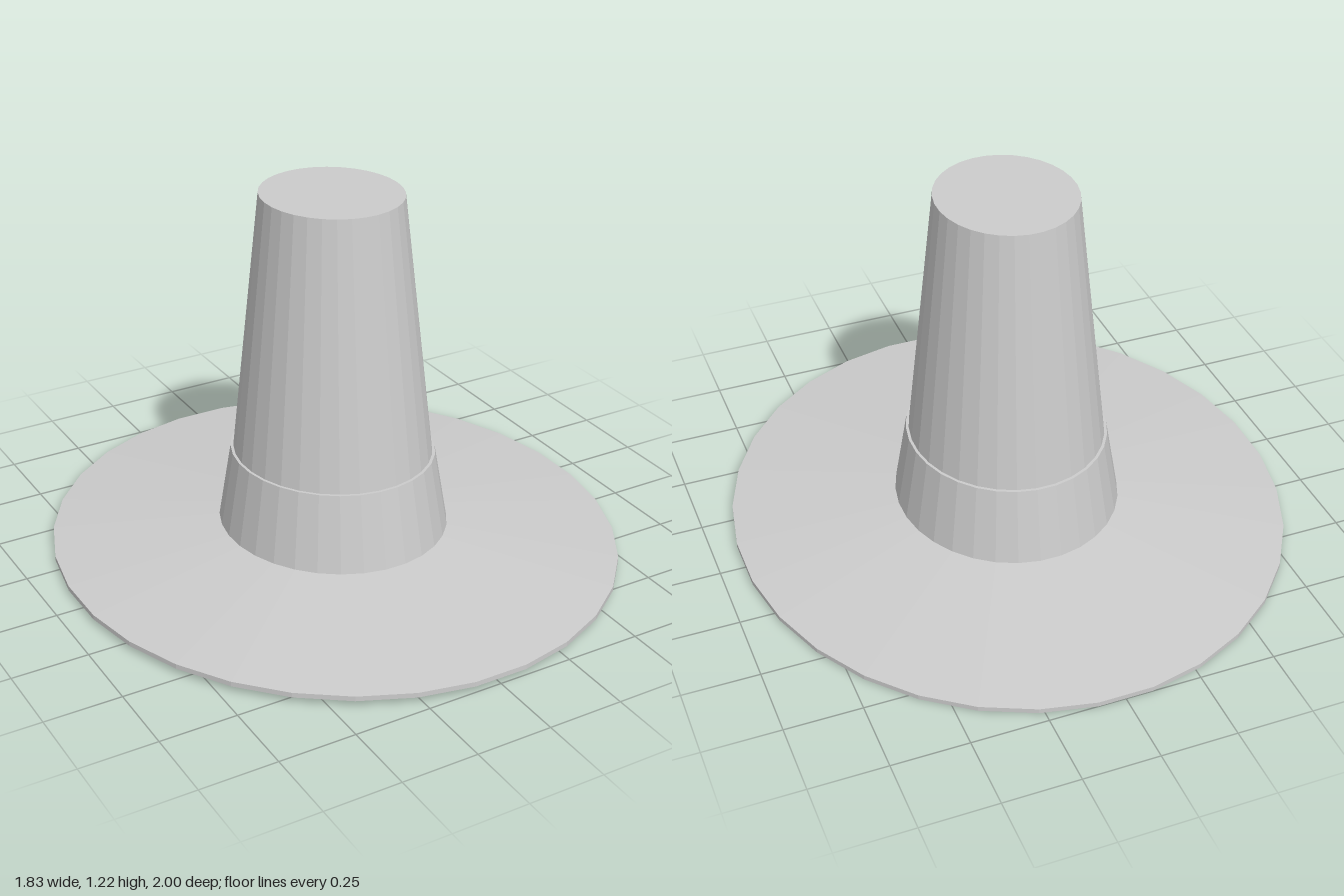
import * as THREE from 'three';

const SIDES = 32;
const ASPECT = 0.917; // oval: narrower across x than along z

// Faceted oval surface of revolution; points are [radius along z, height]
function ovalLathe(name, points) {
  const k = 1 / Math.cos(Math.PI / SIDES); // radii are measured to the flats
  const profile = points.map(([r, y]) => new THREE.Vector2(r * k, y));
  const geometry = new THREE.LatheGeometry(profile, SIDES, Math.PI / SIDES);
  geometry.scale(ASPECT, 1, 1);
  const material = new THREE.MeshStandardMaterial({
    color: 0xcccccc, flatShading: true, side: THREE.DoubleSide,
  });
  const mesh = new THREE.Mesh(geometry, material);
  mesh.name = name;
  return mesh;
}

export function createModel() {
  const hat = new THREE.Group();
  hat.name = 'hat';

  // Wide thin brim, flat below and sloping above, with an open head hole
  hat.add(ovalLathe('brim', [[0.365, 0], [1, 0], [1, 0.016], [0.395, 0.073]]));

  // Tall tapered crown, closed at the top and hollow below
  hat.add(ovalLathe('crown', [[0.365, 0], [0.348, 0.33], [0.245, 1.211], [0, 1.211]]));

  // Band around the foot of the crown
  hat.add(ovalLathe('hatBand', [[0.366, 0.071], [0.404, 0.071], [0.358, 0.33], [0.347, 0.33]]));

  // The hat sits with a very slight backward tilt
  hat.rotation.set(-0.01, 0, -0.003);
  hat.position.y = 0.0105;

  const model = new THREE.Group();
  model.name = 'tallHat';
  model.add(hat);
  return model;
}
